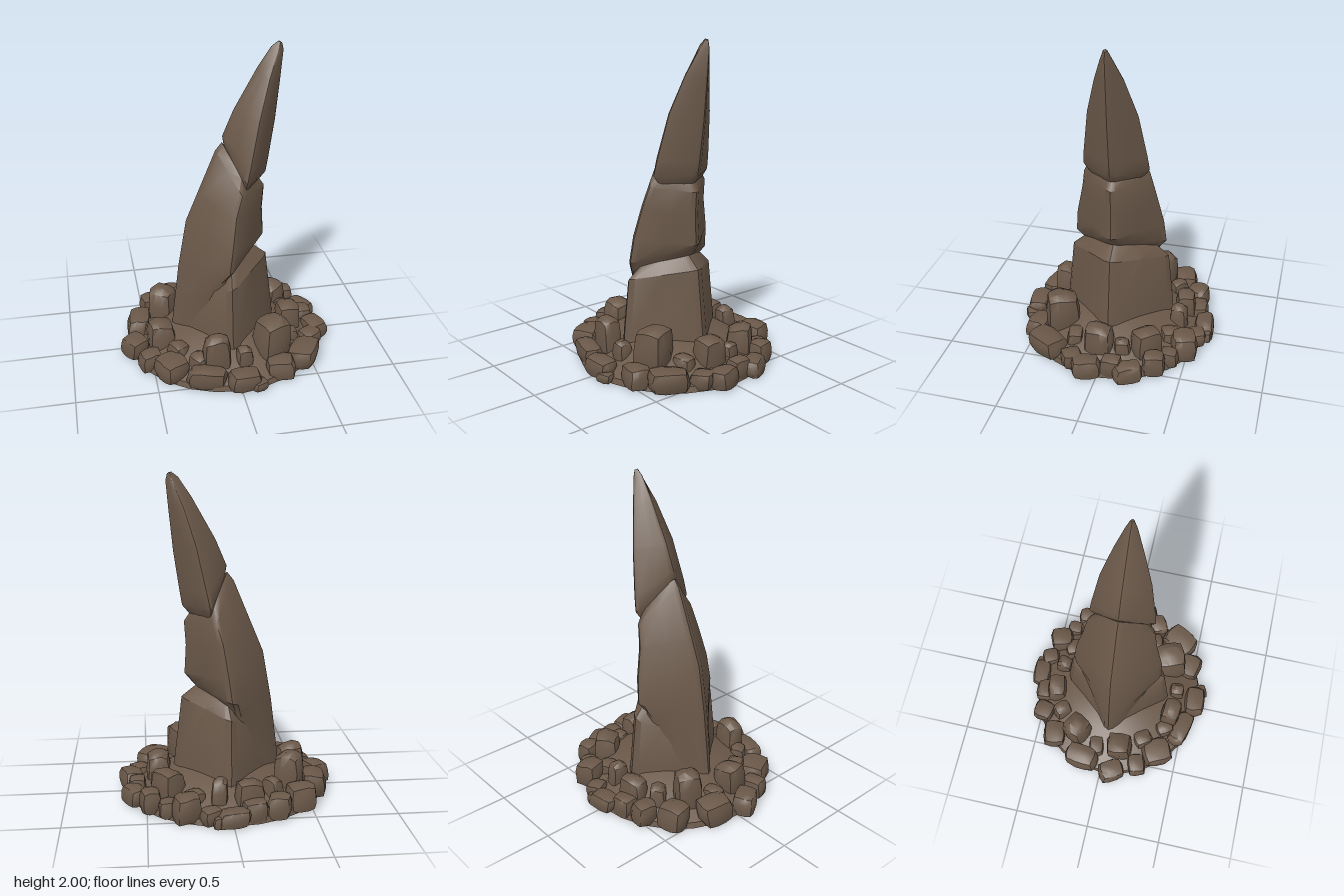
import * as THREE from 'three';
import { mergeVertices, toCreasedNormals } from 'three/addons/utils/BufferGeometryUtils.js';

const earth = new THREE.MeshStandardMaterial({ color: 0x6a5849 });
earth.name = 'brown stone';

// Diamond cross-section with softened corners
const quarter = [[1, 0], [0.94, 0.13], [0.54, 0.52], [0.13, 0.94]];
const section = [];
for (let q = 0; q < 4; q++) {
  for (const [a, b] of quarter) {
    section.push([[a, b], [-b, a], [-a, -b], [b, -a]][q]);
  }
}

// Skins tilted rings; each ring is
// [left x, left y, right x, right y, half depth, corner x, corner y]
function spikeSegment(name, rings) {
  const pos = [], index = [], n = section.length;
  for (const [xl, yl, xr, yr, depth, xm, ym] of rings) {
    for (const [u, w] of section) {
      const t = Math.abs(u);
      pos.push(xm + ((u > 0 ? xr : xl) - xm) * t, ym + ((u > 0 ? yr : yl) - ym) * t, w * depth);
    }
  }
  for (let r = 0; r < rings.length - 1; r++) {
    for (let i = 0; i < n; i++) {
      const a = r * n + i, b = r * n + (i + 1) % n;
      index.push(a, a + n, b, b, a + n, b + n);
    }
  }
  // Close both ends
  const last = (rings.length - 1) * n;
  for (let i = 1; i < n - 1; i++) {
    index.push(0, i, i + 1, last, last + i + 1, last + i);
  }
  const g = new THREE.BufferGeometry();
  g.setAttribute('position', new THREE.Float32BufferAttribute(pos, 3));
  g.setIndex(index);
  const mesh = new THREE.Mesh(toCreasedNormals(g, 0.6), earth);
  mesh.name = name;
  return mesh;
}

// Seeded random numbers in -1..1
let seed = 7;
function rand() {
  seed = (seed * 16807) % 2147483647;
  return (seed / 2147483647) * 2 - 1;
}

// Worn block: a box pulled part way to a ball, with uneven corners
function rock(x, z, w, h, d, turn) {
  let g = new THREE.BoxGeometry(2, 2, 2, 3, 3, 3);
  g.deleteAttribute('normal');
  g.deleteAttribute('uv');
  g = mergeVertices(g);
  const p = g.attributes.position, v = new THREE.Vector3();
  const leanX = rand() * 0.12, leanZ = rand() * 0.12, slope = rand() * 0.1;
  for (let i = 0; i < p.count; i++) {
    v.fromBufferAttribute(p, i);
    const k = (v.x ** 4 + v.y ** 4 + v.z ** 4) ** -0.25;
    v.multiplyScalar(k);
    v.x += leanX * v.y + rand() * 0.05;
    v.z += leanZ * v.y + rand() * 0.05;
    v.y += slope * v.x + rand() * 0.04;
    p.setXYZ(i, v.x * w / 2, Math.max(0, (v.y + 0.9) * h / 1.9), v.z * d / 2);
  }
  g.rotateY(turn);
  const mesh = new THREE.Mesh(toCreasedNormals(g, 0.75), earth);
  mesh.position.set(x, 0.002, z);
  mesh.name = 'rock';
  return mesh;
}

export function createModel() {
  const model = new THREE.Group();
  model.name = 'rockSpike';

  // Curved spike in three broken, overlapping pieces
  const spike = new THREE.Group();
  spike.name = 'spike';
  spike.add(
    spikeSegment('lowerSpike', [
      [-0.33, 0.01, 0.34, 0.01, 0.37, 0, 0.01],
      [-0.3, 0.22, 0.315, 0.25, 0.35, -0.01, 0.22],
      [-0.25, 0.42, 0.27, 0.62, 0.315, -0.01, 0.55],
      [-0.2, 0.48, 0.17, 0.7, 0.24, 0, 0.62],
    ]),
    spikeSegment('middleSpike', [
      [-0.36, 0.01, 0.1, 0.55, 0.22, -0.05, 0.42],
      [-0.335, 0.25, 0.16, 0.67, 0.25, -0.04, 0.59],
      [-0.295, 0.58, 0.2, 0.71, 0.295, -0.02, 0.65],
      [-0.24, 0.9, 0.25, 0.77, 0.28, 0, 0.8],
      [-0.17, 1.07, 0.24, 0.95, 0.235, 0.03, 1.0],
      [-0.055, 1.35, 0.25, 1.1, 0.21, 0.07, 1.13],
      [-0.015, 1.4, 0.21, 1.16, 0.16, 0.09, 1.2],
    ]),
    spikeSegment('upperSpike', [
      [0.02, 1.27, 0.21, 1.14, 0.16, 0.1, 1.14],
      [0, 1.36, 0.26, 1.2, 0.205, 0.1, 1.2],
      [-0.012, 1.44, 0.275, 1.29, 0.195, 0.12, 1.29],
      [0.055, 1.6, 0.31, 1.53, 0.152, 0.18, 1.57],
      [0.195, 1.85, 0.335, 1.78, 0.087, 0.25, 1.8],
      [0.275, 1.97, 0.35, 1.95, 0.035, 0.31, 1.94],
      [0.315, 2.0, 0.34, 1.99, 0.012, 0.327, 1.997],
    ]),
  );
  model.add(spike);

  // Low mound with a flat underside
  const profile = [[0, 0], [0.6, 0], [0.59, 0.035], [0.47, 0.09], [0.33, 0.17], [0, 0.22]];
  const mound = new THREE.Mesh(
    new THREE.LatheGeometry(profile.map(([r, y]) => new THREE.Vector2(r, y)), 24), earth);
  mound.geometry = toCreasedNormals(mound.geometry, 0.7);
  mound.scale.set(1.02, 1, 0.97);
  mound.name = 'mound';
  model.add(mound);

  // Rubble: x, z, width, height, depth, turn
  const outer = [
    [0, -0.57, 0.19, 0.1, 0.12, 0.1], [0.085, -0.6, 0.07, 0.07, 0.05, 0],
    [0.13, -0.53, 0.12, 0.1, 0.12, 0.4], [0.27, -0.48, 0.16, 0.17, 0.16, 0.3],
    [0.38, -0.41, 0.1, 0.11, 0.11, 0], [0.48, -0.33, 0.12, 0.15, 0.14, 0.2],
    [0.58, -0.19, 0.11, 0.11, 0.18, 0.5], [0.555, -0.08, 0.11, 0.13, 0.13, 0],
    [0.595, 0.07, 0.13, 0.12, 0.18, 0.3], [0.53, 0.18, 0.14, 0.11, 0.13, 0.5],
    [0.44, 0.36, 0.18, 0.14, 0.24, -0.55], [0.27, 0.47, 0.18, 0.13, 0.15, -0.2],
    [0.02, 0.55, 0.2, 0.12, 0.14, 0.1], [0.11, 0.58, 0.1, 0.06, 0.08, 0.4],
    [-0.2, 0.49, 0.24, 0.13, 0.13, -0.25], [-0.4, 0.36, 0.18, 0.14, 0.2, 0.5],
    [-0.52, 0.24, 0.14, 0.12, 0.12, 0.3], [-0.6, 0.075, 0.14, 0.13, 0.17, 0.5],
    [-0.55, -0.14, 0.15, 0.16, 0.22, -0.1], [-0.46, -0.06, 0.13, 0.15, 0.1, 0.2],
    [-0.43, -0.37, 0.18, 0.16, 0.15, 0.2], [-0.28, -0.48, 0.14, 0.15, 0.14, -0.2],
    [-0.13, -0.51, 0.15, 0.13, 0.12, 0.1],
  ];
  const inner = [
    [-0.11, -0.42, 0.17, 0.22, 0.13, 0.2], [0.07, -0.41, 0.1, 0.23, 0.11, -0.1],
    [-0.26, -0.35, 0.1, 0.2, 0.12, 0.7], [-0.38, -0.21, 0.17, 0.31, 0.17, -0.5],
    [-0.43, 0.1, 0.17, 0.25, 0.17, 0.1], [-0.12, 0.4, 0.17, 0.3, 0.13, -0.1],
    [0.05, 0.41, 0.1, 0.2, 0.1, 0.1], [-0.23, 0.38, 0.1, 0.16, 0.12, 0.6],
    [0.24, 0.32, 0.2, 0.33, 0.21, 0.4], [0.38, 0.2, 0.13, 0.16, 0.1, 0.2],
    [0.42, 0.03, 0.15, 0.25, 0.18, 0], [0.37, -0.26, 0.16, 0.24, 0.18, 0.7],
    [0.42, -0.12, 0.1, 0.17, 0.1, 0.2], [-0.34, 0.25, 0.11, 0.17, 0.13, 0.6],
    [0.22, -0.38, 0.12, 0.15, 0.12, 0.4],
  ];
  const rubble = new THREE.Group();
  rubble.name = 'rubble';
  for (const r of [...outer, ...inner]) rubble.add(rock(...r));
  model.add(rubble);
  return model;
}
